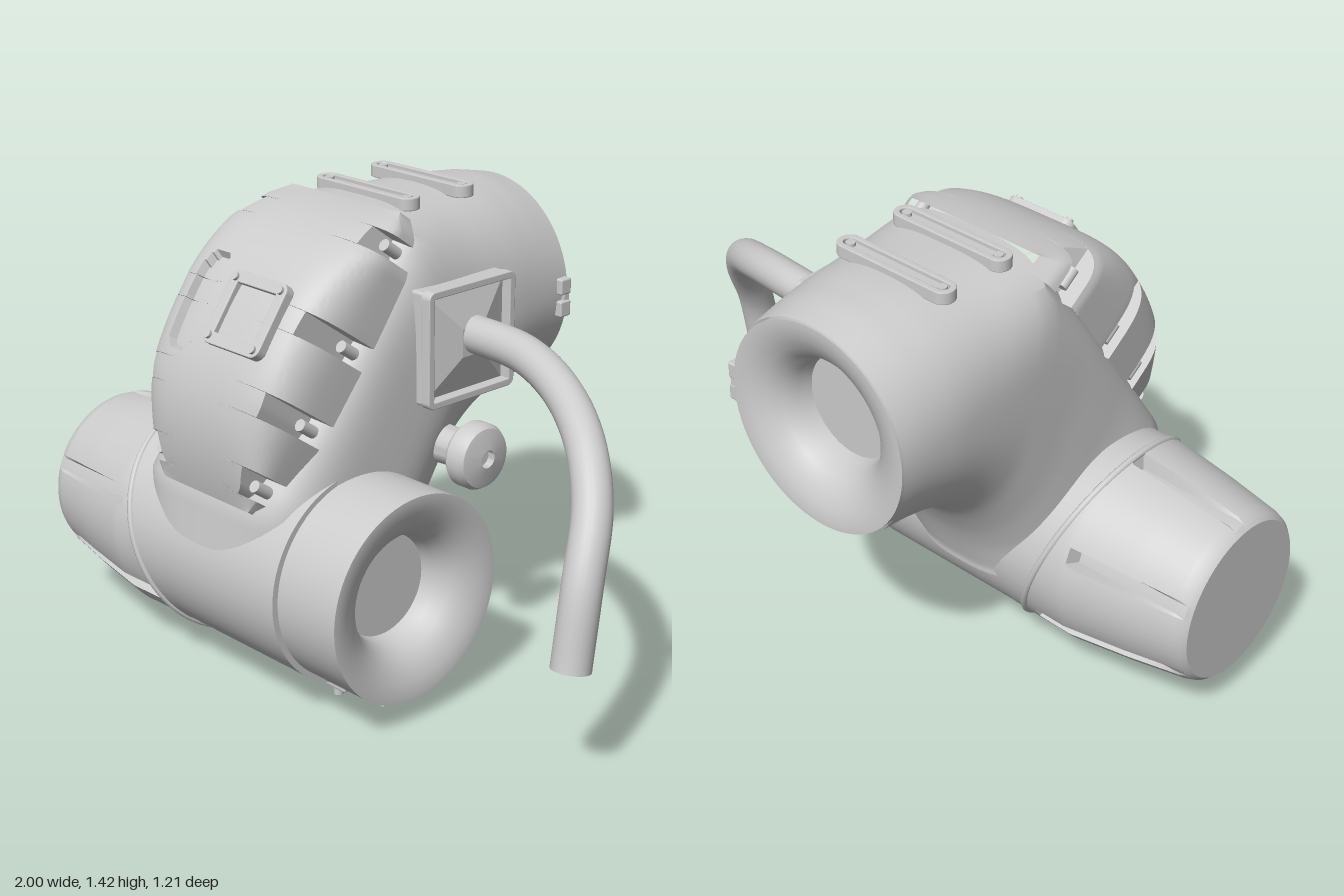
import * as THREE from 'three';
import { toCreasedNormals } from 'three/addons/utils/BufferGeometryUtils.js';
import { RoundedBoxGeometry } from 'three/addons/geometries/RoundedBoxGeometry.js';

const mat = new THREE.MeshStandardMaterial({ color: 0xcccccc });
const CX = -0.19, DY = 0.385, DZ = 0.272; // body centre line, drum axis

function add(parent, name, geo, x = 0, y = 0, z = 0) {
  const m = new THREE.Mesh(geo, mat);
  m.name = name;
  m.position.set(x, y, z);
  parent.add(m);
  return m;
}

// Surface from a grid of points; wound so that the enclosed volume is positive
function gridSurface(nu, nv, fn, crease = 0.6) {
  const pos = [], idx = [], c = new THREE.Vector3();
  for (let j = 0; j <= nv; j++) for (let i = 0; i <= nu; i++) {
    const p = fn(i / nu, j / nv, i, j);
    pos.push(...p);
    c.add(new THREE.Vector3(...p));
  }
  c.divideScalar(pos.length / 3);
  const at = k => new THREE.Vector3().fromArray(pos, k * 3).sub(c);
  let vol = 0;
  for (let j = 0; j < nv; j++) for (let i = 0; i < nu; i++) {
    const a = j * (nu + 1) + i, b = a + 1, d = a + nu + 1, e = d + 1;
    for (const t of [[a, b, d], [b, e, d]]) {
      idx.push(...t);
      vol += at(t[0]).dot(at(t[1]).cross(at(t[2])));
    }
  }
  if (vol < 0) idx.reverse();
  const g = new THREE.BufferGeometry();
  g.setAttribute('position', new THREE.Float32BufferAttribute(pos, 3));
  g.setIndex(idx);
  return toCreasedNormals(g, crease);
}

// Solid of revolution about z from [radius, z] points
const spin = (pts, seg = 64) => gridSurface(seg, pts.length - 1, (u, v, i, j) => {
  const a = (i % seg) / seg * Math.PI * 2;
  return [pts[j][0] * Math.cos(a), pts[j][0] * Math.sin(a), pts[j][1]];
});

function table(rows, t) { // piecewise linear lookup
  for (let i = 1; i < rows.length; i++) {
    const [a, b] = [rows[i - 1], rows[i]];
    if (t <= b[0]) return a[1] + (b[1] - a[1]) * (t - a[0]) / (b[0] - a[0]);
  }
  return rows[rows.length - 1][1];
}

function roundRect(w, h, r, T = THREE.Shape) {
  const s = new T(), x = w / 2, y = h / 2, q = Math.PI / 2;
  s.absarc(x - r, y - r, r, 0, q);
  s.absarc(r - x, y - r, r, q, 2 * q);
  s.absarc(r - x, r - y, r, 2 * q, 3 * q);
  s.absarc(x - r, r - y, r, 3 * q, 4 * q);
  s.closePath();
  return s;
}

function frame(w, h, r, wall, depth) {
  const s = roundRect(w, h, r);
  s.holes.push(roundRect(w - 2 * wall, h - 2 * wall, Math.max(r - wall, 0.004), THREE.Path));
  return new THREE.ExtrudeGeometry(s, { depth, bevelEnabled: true, bevelSize: 0.003, bevelThickness: 0.003, bevelSegments: 2, curveSegments: 8 });
}

function bolt(parent, x, y, z, r = 0.012, h = 0.02) {
  add(parent, 'bolt', new THREE.CylinderGeometry(r, r, h, 16).rotateX(Math.PI / 2), x, y, z);
}

// Curved housing: sections [outer z, y, inner z, y, left x, right x, outer power, inner power]
function housing() {
  const S = [
    [-0.6, 1.37, -0.6, 0.73, -0.51, 0.13, 2, 2],
    [-0.5, 1.39, -0.51, 0.722, -0.515, 0.135, 2.1, 2],
    [-0.38, 1.4, -0.41, 0.708, -0.52, 0.14, 2.3, 2.1],
    [-0.18, 1.4, -0.3, 0.67, -0.52, 0.14, 2.7, 2.3],
    [0.02, 1.4, -0.21, 0.6, -0.52, 0.14, 3.6, 2.5],
    [0.2, 1.148, -0.14, 0.5, -0.52, 0.14, 5, 2.5],
    [0.4, 0.868, -0.095, 0.41, -0.53, 0.14, 5, 2.5],
    [0.565, 0.637, -0.06, 0.32, -0.56, 0.13, 4, 2.5],
    [0.592, 0.42, -0.048, 0.29, -0.56, 0.12, 3, 2.5],
    [0.5, 0.3, 0.05, 0.27, -0.5, 0.1, 2.5, 2.5]];
  const inner = new THREE.CatmullRomCurve3(S.map(s => new THREE.Vector3(0, s[3], s[2])), false, 'catmullrom');
  const n = S.length - 1;
  return gridSurface(80, n * 4, (u, v, i) => {
    const k = Math.min(Math.floor(v * n), n - 1), f = v * n - k;
    const s = S[k].map((a, m) => a + (S[k + 1][m] - a) * f);
    const B = inner.getPoint(v), a = (i % 80) / 80 * Math.PI * 2;
    const c = Math.cos(a), q = Math.sin(a), e = 2 / (c > 0 ? s[6] : s[7]);
    const pc = 0.5 + 0.5 * Math.sign(c) * Math.abs(c) ** e;
    const pq = 0.5 + 0.5 * Math.sign(q) * Math.abs(q) ** e;
    return [s[4] + (s[5] - s[4]) * pq, B.y + (s[1] - B.y) * pc, B.z + (s[0] - B.z) * pc];
  });
}

// Domed cover, notched along both sides, with an oval dent
const widths = [[-0.473, 0.19], [-0.42, 0.235], [-0.2, 0.3], [0.1, 0.318], [0.3, 0.318], [0.42, 0.28], [0.473, 0.23]];
const notches = [-0.4, -0.195, 0.05, 0.36], HALF = 0.036;
function cover() {
  const L = 0.473, vs = [];
  for (let i = 0; i <= 70; i++) vs.push(-L + 2 * L * i / 70);
  for (const n of notches) for (const s of [-1, 1]) vs.push(n + s * HALF - 0.0005, n + s * HALF + 0.0005);
  vs.sort((a, b) => a - b);
  return gridSurface(72, vs.length - 1, (u, w, i, j) => {
    const y = vs[j], hw = table(widths, y);
    const cut = notches.some(n => Math.abs(y - n) < HALF) ? 0.06 : 0;
    const x = (hw - cut) * Math.sin((Math.min(Math.max((i - 1) / 70, 0), 1) - 0.5) * Math.PI);
    if (i === 0 || i === 72) return [x, y, -0.05];
    const d = 0.225 * (1 - Math.abs(y / L) ** 2.5);
    const dent = Math.hypot(x + 0.14, Math.max(Math.abs(y - 0.02) - 0.105, 0));
    return [x, y, d * Math.max(1 - Math.abs(x / hw) ** 4.5, 0) ** 0.3 - (dent < 0.047 ? 0.025 : 0)];
  }, 0.5);
}

// Tapered end cap with wedge grooves [angle, half angle, inner end x]
function endCap() {
  const prof = [[-1, 0], [-1, 0.25], [-0.985, 0.265], [-0.96, 0.274], [-0.8, 0.302], [-0.6, 0.33], [-0.38, 0.326]];
  const grooves = [[22, 5, -0.58], [94, 5, -0.63], [158, 5, -0.62], [-31, 5, -0.47], [212, 5, -0.5], [270, 5, -0.45]];
  const xs = [-1, -1, -0.985, -0.96];
  for (let i = 1; i <= 48; i++) xs.push(-0.96 + 0.58 * i / 48);
  return gridSurface(240, xs.length - 1, (u, v, i, j) => {
    const deg = (i % 240) * 1.5, x = xs[j];
    let r = j === 0 ? 0 : j === 1 ? 0.25 : table(prof.slice(1), x);
    for (const [a, h, end] of grooves) {
      const off = Math.abs((deg - a + 540) % 360 - 180);
      if (off < h && x < end) r = Math.min(r, 0.268 + 0.03 * (x + 1));
    }
    const t = deg * Math.PI / 180;
    return [x, DY + r * Math.sin(t), DZ + r * Math.cos(t)];
  }, 0.5);
}

export function createModel() {
  const g = new THREE.Group();
  add(g, 'housing', housing());

  // Horizontal drum, end cap and slanted seam band
  add(g, 'drum', new THREE.CylinderGeometry(0.325, 0.325, 0.58, 96).rotateZ(Math.PI / 2), -0.16, DY, DZ);
  add(g, 'endCap', endCap());
  const seam = [];
  for (let i = 0; i < 48; i++) {
    const a = i / 48 * Math.PI * 2, y = 0.326 * Math.sin(a);
    seam.push(new THREE.Vector3(-0.5 - y * 0.36, DY + y, DZ + 0.326 * Math.cos(a)));
  }
  add(g, 'seamBand', new THREE.TubeGeometry(new THREE.CatmullRomCurve3(seam, true), 96, 0.011, 8, true));

  // Two open ports with a rolled funnel mouth
  const port = [[0, -0.26], [0.313, -0.26], [0.313, 0], [0.295, 0], [0.26, -0.008], [0.22, -0.026], [0.185, -0.055], [0.163, -0.095], [0.155, -0.14], [0, -0.14]];
  add(g, 'sidePort', spin(port, 72), 0.365, DY, DZ - 0.007).rotation.y = Math.PI / 2;
  add(g, 'backPort', spin(port, 72), CX, 1.05, -0.601).rotation.y = Math.PI;

  // Slanted front cover with its framed window and screws
  const front = new THREE.Group();
  front.name = 'frontCover';
  front.position.set(CX, 1.015, 0.295);
  front.rotation.x = -0.62;
  g.add(front);
  add(front, 'coverShell', cover());
  add(front, 'windowFrame', frame(0.23, 0.22, 0.025, 0.03, 0.025), 0.09, 0.02, 0.213);
  for (const x of [-1, 1]) {
    for (const y of [-1, 1]) bolt(front, 0.09 + x * 0.095, 0.02 + y * 0.09, 0.24);
    for (const n of notches) bolt(front, x * (table(widths, n) - 0.03), n, 0.01, 0.018, 0.06);
  }

  // Two raised bars on the top
  for (const z of [-0.29, -0.07]) {
    const bar = new THREE.Group();
    bar.name = 'topBar';
    bar.position.set(CX, 1.385, z);
    bar.rotation.x = -Math.PI / 2;
    g.add(bar);
    add(bar, 'barRim', frame(0.4, 0.066, 0.032, 0.012, 0.032));
    add(bar, 'barFloor', new THREE.BoxGeometry(0.34, 0.05, 0.03), 0, 0, 0.008);
    for (const x of [-0.165, 0.165]) bolt(bar, x, 0, 0.018, 0.014, 0.03);
  }

  // Square mount and the bent pipe leaving it
  const mount = new THREE.Group();
  mount.name = 'pipeMount';
  mount.position.set(0.13, 1.025, -0.12);
  mount.rotation.y = Math.PI / 2;
  g.add(mount);
  add(mount, 'mountPlate', new RoundedBoxGeometry(0.34, 0.34, 0.06, 2, 0.01), 0, 0, 0.005);
  add(mount, 'mountFrame', frame(0.345, 0.345, 0.02, 0.016, 0.03), 0, 0, 0.035);
  const pyramid = new THREE.CylinderGeometry(0.06, 0.22, 0.035, 4, 1).rotateY(Math.PI / 4).rotateX(Math.PI / 2);
  add(mount, 'mountPyramid', toCreasedNormals(pyramid, 0.1), 0, 0, 0.052);
  const path = [[0.15, 1.04, -0.14], [0.42, 1.035, -0.11], [0.62, 0.985, -0.045], [0.78, 0.9, 0.045], [0.88, 0.78, 0.13], [0.93, 0.62, 0.215], [0.942, 0.385, 0.265]];
  const curve = new THREE.CatmullRomCurve3(path.map(p => new THREE.Vector3(...p)));
  add(g, 'pipe', new THREE.TubeGeometry(curve, 64, 0.056, 24));
  add(g, 'pipeEnd', new THREE.CircleGeometry(0.056, 24).rotateX(Math.PI / 2), 0.942, 0.386, 0.265);

  // Side knob
  const knob = [[0, 0], [0.06, 0], [0.055, 0.1], [0.09, 0.105], [0.1, 0.118], [0.1, 0.16], [0.09, 0.178], [0.075, 0.182], [0.027, 0.19], [0.027, 0.165], [0, 0.165]];
  add(g, 'knob', spin(knob, 40), 0.1, 0.69, -0.095).rotation.y = Math.PI / 2;

  // Clip beneath the drum
  add(g, 'clip', new RoundedBoxGeometry(0.085, 0.07, 0.12, 2, 0.006), 0.09, 0.058, DZ);
  add(g, 'clipTab', new THREE.BoxGeometry(0.16, 0.008, 0.07), 0.195, 0.029, DZ);
  for (const z of [-0.04, 0.04]) add(g, 'clipStud', new THREE.CylinderGeometry(0.015, 0.015, 0.03, 16), 0.085, 0.015, DZ + z);

  // Latch at the back edge and stud under the neck
  for (const y of [1.01, 1.08]) add(g, 'latch', new RoundedBoxGeometry(0.035, 0.05, 0.045, 2, 0.006), 0.133, y, -0.574);
  add(g, 'latchBar', new THREE.BoxGeometry(0.02, 0.1, 0.02), 0.133, 1.045, -0.585);
  add(g, 'neckStud', new THREE.CylinderGeometry(0.022, 0.022, 0.03, 20), CX, 0.703, -0.37);
  return g;
}
